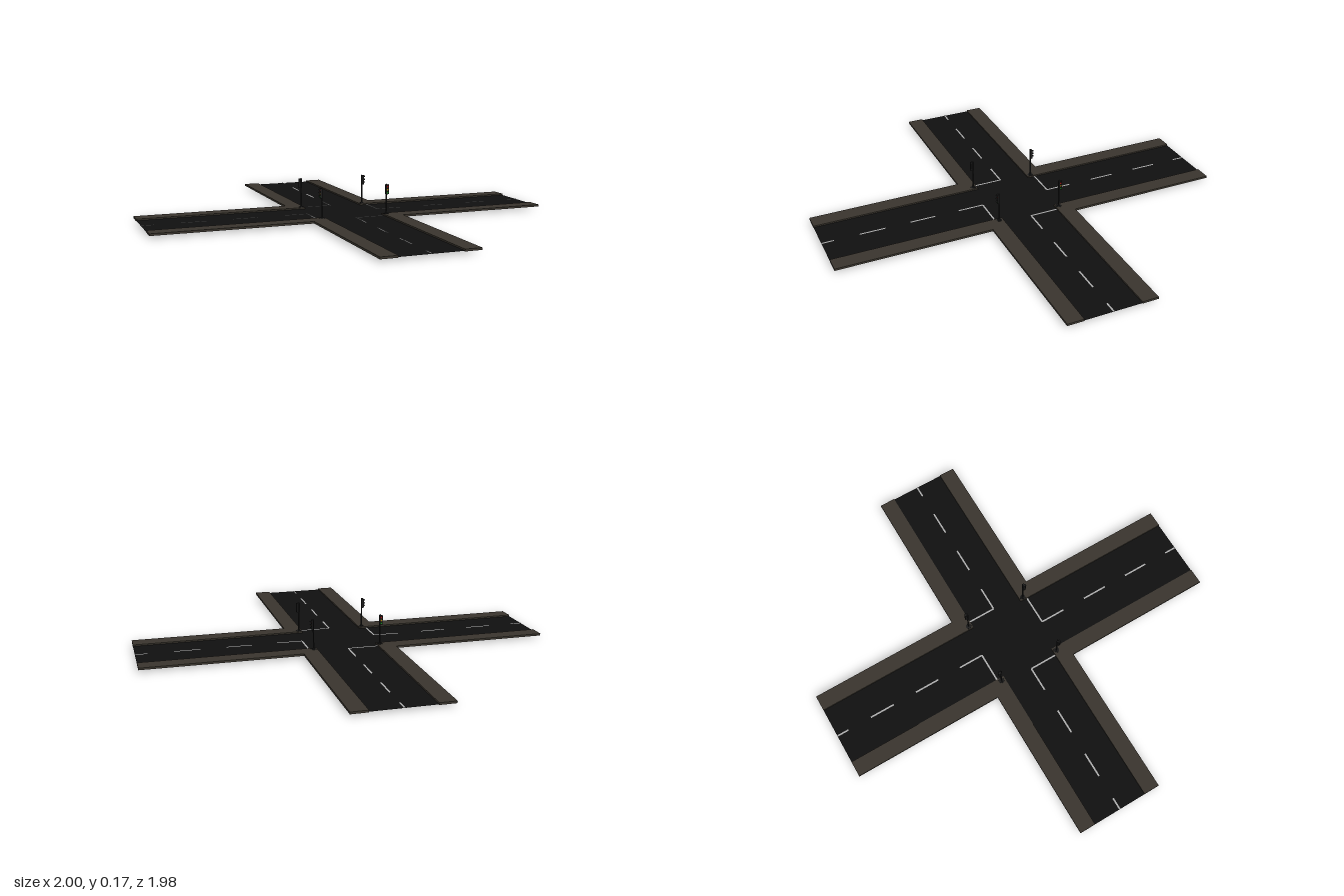
import * as THREE from 'three';

const paint = (color, side = THREE.FrontSide) => new THREE.MeshStandardMaterial({ color, side });
const asphalt = paint(0x101010, THREE.DoubleSide);
const paving = paint(0x39342d);
const marking = paint(0xaaaaaa, THREE.DoubleSide);
const metal = paint(0x1c1c1c);
const lampColours = [paint(0xaa1111), paint(0xb08010), paint(0x118822)];

// Half widths and half lengths of the two roads (x road runs along x)
const RX = 0.15, RZ = 0.14, WALK = 0.08, LX = 1, LZ = 0.99;
const ROAD_Y = 0.014, WALK_Y = 0.011, WALK_H = 0.01;

function add(parent, name, geometry, material, x = 0, y = 0, z = 0) {
  const mesh = new THREE.Mesh(geometry, material);
  mesh.name = name;
  mesh.position.set(x, y, z);
  parent.add(mesh);
  return mesh;
}

const outline = (points) => new THREE.Shape(points.map(([x, z]) => new THREE.Vector2(x, -z)));

// Flat painted strip between two corners
function strip(parent, name, x0, x1, z0, z1) {
  const geometry = new THREE.PlaneGeometry(Math.abs(x1 - x0), Math.abs(z1 - z0)).rotateX(-Math.PI / 2);
  add(parent, name, geometry, marking, (x0 + x1) / 2, ROAD_Y + 0.0015, (z0 + z1) / 2);
}

// Signal facing +z, standing on its own origin
function trafficLight() {
  const light = new THREE.Group();
  light.name = 'trafficLight';
  add(light, 'foot', new THREE.CylinderGeometry(0.008, 0.008, 0.024, 12), metal, 0, 0.012, 0);
  add(light, 'footPlate', new THREE.CylinderGeometry(0.014, 0.016, 0.006, 12), metal, 0, 0.019, 0);
  add(light, 'pole', new THREE.CylinderGeometry(0.0035, 0.0035, 0.147, 10), metal, 0, 0.0935, 0);
  add(light, 'head', new THREE.BoxGeometry(0.017, 0.048, 0.009), metal, 0.002, 0.142, 0.006);
  add(light, 'cap', new THREE.CylinderGeometry(0.001, 0.004, 0.004, 10), metal, 0, 0.168, 0);
  lampColours.forEach((material, i) => {
    const y = 0.157 - i * 0.015;
    const lens = new THREE.CylinderGeometry(0.005, 0.005, 0.002, 12).rotateX(Math.PI / 2);
    add(light, 'lens', lens, material, 0.002, y, 0.0112);
    // Half-open hood above the lens
    const hood = new THREE.CylinderGeometry(0.006, 0.006, 0.007, 10, 1, true, Math.PI / 2, Math.PI)
      .rotateX(Math.PI / 2);
    const mesh = add(light, 'hood', hood, paint(0x1c1c1c, THREE.DoubleSide), 0.002, y, 0.0135);
    mesh.scale.y = 1;
  });
  return light;
}

export function createModel() {
  const model = new THREE.Group();
  model.name = 'crossroads';

  // Cross-shaped carriageway
  const cross = outline([
    [RX, RZ], [LX, RZ], [LX, -RZ], [RX, -RZ], [RX, -LZ], [-RX, -LZ],
    [-RX, -RZ], [-LX, -RZ], [-LX, RZ], [-RX, RZ], [-RX, LZ], [RX, LZ],
  ].reverse());
  add(model, 'carriageway', new THREE.ShapeGeometry(cross).rotateX(-Math.PI / 2), asphalt, 0, ROAD_Y, 0);

  // L-shaped pavement in each corner
  for (const sx of [-1, 1]) for (const sz of [-1, 1]) {
    const corner = outline([
      [RX, RZ], [LX, RZ], [LX, RZ + WALK], [RX + WALK, RZ + WALK], [RX + WALK, LZ], [RX, LZ],
    ].map(([x, z]) => [x * sx, z * sz]));
    const geometry = new THREE.ExtrudeGeometry(corner, { depth: WALK_H, bevelEnabled: false });
    add(model, 'pavement', geometry.rotateX(-Math.PI / 2), paving, 0, WALK_Y, 0);
  }

  // Centre dashes and stop lines on all four arms
  const w = 0.004;
  for (const s of [-1, 1]) {
    for (let i = 0; i < 4; i++) {
      const x = 0.187 + i * 0.251, z = 0.177 + i * 0.251;
      strip(model, 'centreDash', s * x, s * Math.min(x + 0.127, LX), -w, w);
      strip(model, 'centreDash', -w, w, s * z, s * Math.min(z + 0.127, LZ));
    }
    strip(model, 'stopLine', 0, s * RX, s * 0.173, s * 0.181);
    strip(model, 'stopLine', s * 0.183, s * 0.191, 0, -s * RZ);
  }

  // One signal per corner, each facing its arm
  for (let i = 0; i < 4; i++) {
    const light = trafficLight();
    const spot = [[0.165, 0.16], [0.168, -0.158], [-0.165, -0.16], [-0.168, 0.158]][i];
    light.position.set(spot[0], 0, spot[1]);
    light.rotation.y = i * Math.PI / 2;
    model.add(light);
  }
  return model;
}
